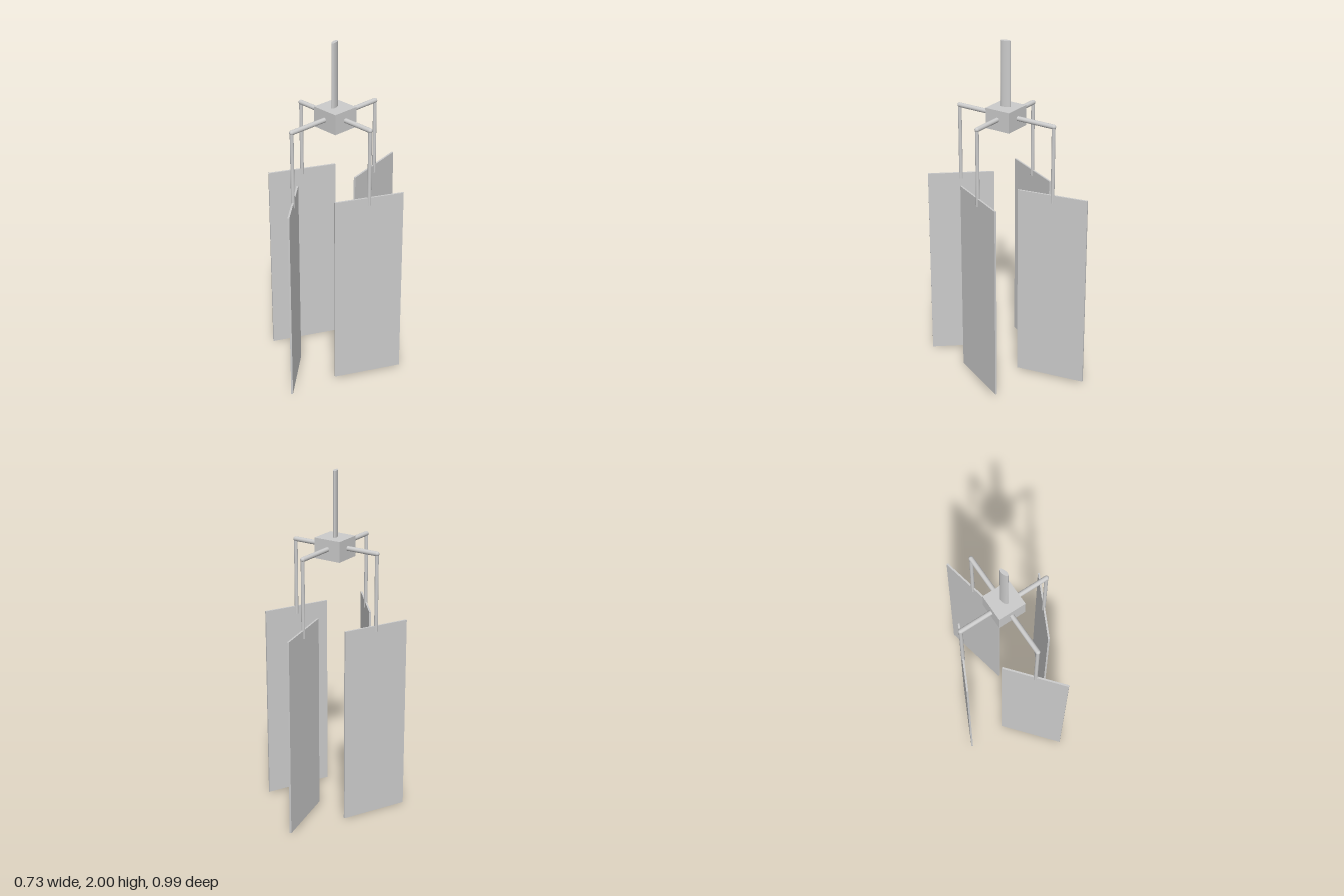
import * as THREE from 'three';

export function createModel() {
  const group = new THREE.Group();
  const material = new THREE.MeshStandardMaterial({ color: 0xcccccc });
  const hubX = 0.002, hubZ = 0.023, armY = 1.57;

  const add = (name, geometry, x, y, z, turn = 0) => {
    const mesh = new THREE.Mesh(geometry, material);
    mesh.name = name;
    mesh.position.set(x, y, z);
    mesh.rotation.y = turn;
    group.add(mesh);
    return mesh;
  };

  // Central block
  add('hub', new THREE.BoxGeometry(0.167, 0.118, 0.16), hubX, 1.566, 0.021);

  // Flattened oval rod rising from the block
  const rod = new THREE.CylinderGeometry(1, 1, 0.39, 40).scale(0.0118, 1, 0.029);
  add('hangingRod', rod, 0, 1.805, hubZ, 0.31);

  // Each arm: elbow position, then the panel's direction in plan and its base height
  const arms = [
    { side: 'left', x: 0.272, z: hubZ, dx: 0.177, dz: -0.36, base: 0.016 },
    { side: 'right', x: -0.272, z: hubZ, dx: 0.177, dz: -0.36, base: 0.003 },
    { side: 'front', x: 0, z: 0.342, dx: 0.247, dz: 0.292, base: 0.003 },
    { side: 'back', x: 0, z: -0.293, dx: 0.085, dz: 0.402, base: 0.016 },
  ];
  const panelHeight = 1.155, armRadius = 0.0135, hangerEnd = 1.12;

  for (const { side, x, z, dx, dz, base } of arms) {
    // Horizontal arm from the block to the elbow
    const start = new THREE.Vector3(0, armY, hubZ);
    const end = new THREE.Vector3(x, armY, z);
    const along = end.clone().sub(start);
    const middle = start.clone().add(end).multiplyScalar(0.5);
    const arm = add(`${side}Arm`,
      new THREE.CylinderGeometry(armRadius, armRadius, along.length(), 24),
      middle.x, middle.y, middle.z);
    arm.quaternion.setFromUnitVectors(new THREE.Vector3(0, 1, 0), along.normalize());
    add(`${side}Elbow`, new THREE.SphereGeometry(armRadius, 24, 16), x, armY, z);

    // Vertical hanger
    add(`${side}Hanger`, new THREE.CylinderGeometry(0.0105, 0.0105, armY - hangerEnd, 24),
      x, (armY + hangerEnd) / 2, z);

    // Thin hanging panel, turned about its hanger
    add(`${side}Panel`, new THREE.BoxGeometry(Math.hypot(dx, dz), panelHeight, 0.0105),
      x, base + panelHeight / 2, z, -Math.atan2(dz, dx));
  }

  // Stand the lowest panels on the ground
  group.children.forEach((part) => { part.position.y -= part.name.endsWith('Panel') ? 0.003 : 0; });
  return group;
}
